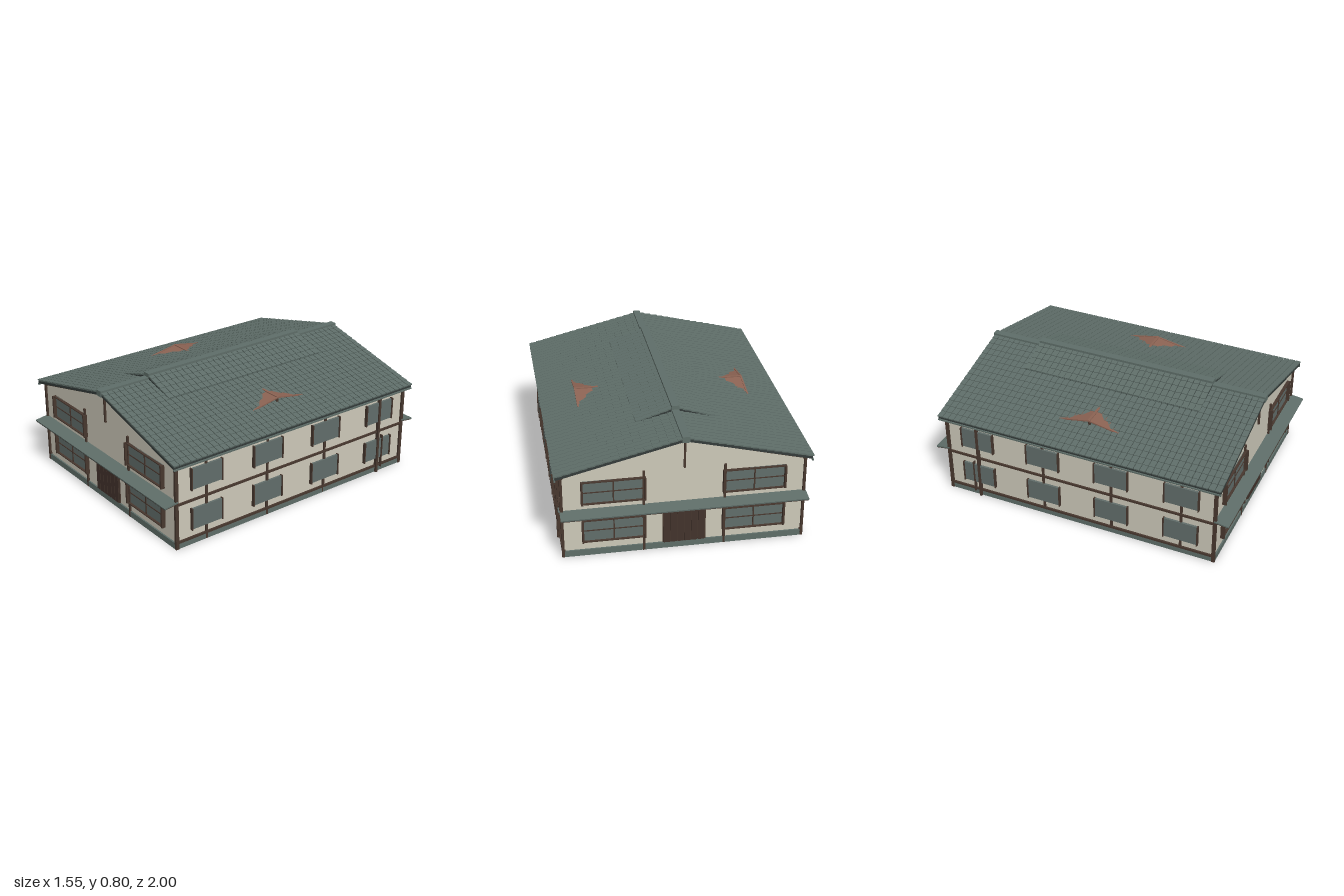
import * as THREE from 'three';
import { mergeGeometries } from 'three/addons/utils/BufferGeometryUtils.js';

const mat = (name, color) => {
  const m = new THREE.MeshStandardMaterial({ color });
  m.name = name;
  return m;
};

export function createModel() {
  const M = {
    wall: mat('cream plaster', 0xcecaba),
    wood: mat('dark wood', 0x48382f),
    door: mat('door wood', 0x43332c),
    glass: mat('grey glass', 0x626e6b),
    tile: mat('grey green tile', 0x5f6e69),
    under: mat('dark roof bed', 0x343c3a),
    terracotta: mat('terracotta', 0x8c6353),
  };
  M.terracotta.side = THREE.DoubleSide;

  const add = (parent, name, geo, material) => {
    const mesh = new THREE.Mesh(geo, material);
    mesh.name = name;
    parent.add(mesh);
    return mesh;
  };
  const boxGeo = (x0, x1, y0, y1, z0, z1) =>
    new THREE.BoxGeometry(Math.abs(x1 - x0), y1 - y0, z1 - z0)
      .translate((x0 + x1) / 2, (y0 + y1) / 2, (z0 + z1) / 2);
  const box = (parent, name, m, ...b) => add(parent, name, boxGeo(...b), m);
  // Profile drawn in x and y, extruded evenly about z = 0
  const prism = (points, depth) =>
    new THREE.ExtrudeGeometry(new THREE.Shape(points.map(p => new THREE.Vector2(...p))),
      { depth, bevelEnabled: false }).translate(0, 0, -depth / 2);

  const model = new THREE.Group();
  model.name = 'house';

  // Foundation and gabled walls
  box(model, 'foundation', M.tile, -0.738, 0.738, 0, 0.04, -0.92, 0.92);
  add(model, 'walls', prism([[-0.73, 0.03], [0.73, 0.03], [0.73, 0.553], [0, 0.738], [-0.73, 0.553]], 1.82), M.wall);

  // Gable end: posts, windows, door, awning
  const gableEnd = () => {
    const g = new THREE.Group();
    g.name = 'gableEnd';
    for (const s of [-1, 1]) {
      box(g, 'cornerPost', M.wood, s * 0.726, s * 0.742, 0, 0.555, 0.9, 0.922);
      box(g, 'post', M.wood, s * 0.238, s * 0.252, 0, 0.55, 0.9, 0.922);
      for (const y of [0.095, 0.357]) {
        const a = s * 0.238, b = s * 0.613, c = (a + b) / 2, t = y + 0.152;
        box(g, 'windowGlass', M.glass, a, b, y, t, 0.905, 0.915);
        for (const x of [a, b]) box(g, 'windowJamb', M.wood, x - 0.006, x + 0.006, y, t, 0.908, 0.937);
        for (const h of [y, t - 0.006]) box(g, 'windowRail', M.wood, a, b, h, h + 0.006, 0.908, 0.93);
        box(g, 'windowMullion', M.wood, c - 0.004, c + 0.004, y, t, 0.91, 0.92);
        box(g, 'windowBar', M.wood, a, b, y + 0.073, y + 0.079, 0.91, 0.919);
      }
      // Board under the roof edge
      const barge = add(g, 'bargeBoard', new THREE.BoxGeometry(0.755, 0.011, 0.03), M.wood);
      barge.position.set(s * 0.366, 0.647, 0.917);
      barge.rotation.z = -s * Math.atan(0.25);
    }
    box(g, 'kingPost', M.wood, -0.006, 0.006, 0.55, 0.735, 0.9, 0.922);
    box(g, 'doorFrame', M.wood, -0.132, 0.132, 0.04, 0.267, 0.9, 0.917);
    for (let i = 0; i < 6; i++) {
      const x = -0.125 + i * 0.042;
      box(g, 'doorPlank', M.door, x, x + 0.038, 0.04, 0.26, 0.91, 0.922);
    }
    const slope = new THREE.Group();
    slope.name = 'awning';
    slope.position.set(0, 0.306, 0.953);
    slope.rotation.x = 0.14;
    box(slope, 'awningTop', M.tile, -0.747, 0.747, 0, 0.009, -0.047, 0.047);
    box(slope, 'awningUnderside', M.wood, -0.743, 0.743, -0.006, 0, -0.045, 0.044);
    g.add(slope);
    box(g, 'awningBeam', M.wood, -0.738, 0.738, 0.292, 0.303, 0.905, 0.925);
    return g;
  };
  const front = gableEnd(), back = gableEnd();
  back.rotation.y = Math.PI;
  model.add(front, back);

  // Long sides: posts, bands and windows
  for (const s of [-1, 1]) {
    const g = new THREE.Group();
    g.name = s > 0 ? 'leftSide' : 'rightSide';
    model.add(g);
    const bar = (name, m, out, y0, y1, z0, z1) => box(g, name, m, s * 0.72, s * out, y0, y1, z0, z1);
    bar('sill', M.wood, 0.742, 0.036, 0.05, -0.92, 0.92);
    bar('middleBand', M.wood, 0.742, 0.287, 0.3, -0.92, 0.92);
    bar('topBand', M.wood, 0.742, 0.54, 0.553, -0.92, 0.92);
    for (const z of [0.695, 0.233, -0.233, -0.695]) {
      bar('sidePost', M.wood, z < -0.5 ? 0.752 : 0.738, 0, 0.555, z - 0.008, z + 0.008);
      for (const y of [0.1, 0.365]) {
        bar('sideGlass', M.glass, 0.744, y, y + 0.137, z - 0.11, z + 0.11);
        for (const e of [-0.111, 0.111])
          bar('sideJamb', M.wood, 0.751, y - 0.004, y + 0.141, z + e - 0.004, z + e + 0.004);
      }
    }
    bar('downPipe', M.wood, 0.752, 0.03, 0.26, -0.736, -0.729);
  }

  // Rows of overlapping tiles on a slope y = top - slope * x
  const tiles = (top, slope, x0, pitch, cols, zHalf, rows) => {
    const parts = [], w = 2 * zHalf / rows, tilt = Math.atan(slope) - 0.09;
    for (let c = 0; c < cols; c++) {
      const x = x0 + (c + 0.5) * pitch;
      for (let r = 0; r < rows; r++)
        parts.push(new THREE.BoxGeometry(pitch * 1.1, 0.008, w - 0.005)
          .rotateZ(-tilt).translate(x, top - slope * x - 0.005, -zHalf + (r + 0.5) * w));
    }
    return mergeGeometries(parts);
  };
  const slab = (top, bottom, slope, x1, depth) => prism([
    [0, bottom], [x1, bottom - slope * x1], [x1, top - slope * x1], [0, top]], depth);

  // One roof half, turned about for the other
  const roofHalf = () => {
    const g = new THREE.Group();
    g.name = 'roofHalf';
    add(g, 'roofBed', slab(0.756, 0.741, 0.245, 0.768, 1.9), M.under);
    add(g, 'roofTiles', tiles(0.767, 0.245, 0, 0.0484, 16, 0.952, 48), M.tile);
    add(g, 'raisedRoofBed', slab(0.782, 0.75, 0.32, 0.24, 1.21), M.under);
    add(g, 'raisedRoofTiles', tiles(0.792, 0.32, 0, 0.0484, 5, 0.608, 30), M.tile);
    box(g, 'gutter', M.tile, 0.764, 0.774, 0.542, 0.551, -0.95, 0.95);

    // Small gable vent on the slope
    const vent = new THREE.Group();
    vent.name = 'gableVent';
    g.add(vent);
    for (const s of [-1, 1]) {
      const geo = new THREE.BufferGeometry();
      geo.setAttribute('position', new THREE.Float32BufferAttribute(
        s > 0 ? [0.37, 0.663, 0, 0.55, 0.626, 0.2, 0.55, 0.663, 0]
          : [0.37, 0.663, 0, 0.55, 0.663, 0, 0.55, 0.626, -0.2], 3));
      geo.computeVertexNormals();
      add(vent, 'ventRoof', geo, M.terracotta);
      const board = add(vent, 'ventBoard', new THREE.BoxGeometry(0.01, 0.008, 0.205), M.terracotta);
      board.position.set(0.548, 0.644, s * 0.1);
      board.rotation.x = s * Math.atan(0.185);
    }
    box(vent, 'ventRidge', M.terracotta, 0.35, 0.553, 0.656, 0.667, -0.008, 0.008);
    box(vent, 'ventPost', M.wood, 0.535, 0.545, 0.62, 0.657, -0.008, 0.008);
    return g;
  };
  const halfA = roofHalf(), halfB = roofHalf();
  halfB.rotation.y = Math.PI;
  model.add(halfA, halfB);

  // Ridge caps
  box(model, 'ridgeCap', M.tile, -0.023, 0.023, 0.735, 0.773, -0.955, 0.955);
  box(model, 'raisedRidgeCap', M.tile, -0.0235, 0.0235, 0.75, 0.798, -0.607, 0.607);
  return model;
}
